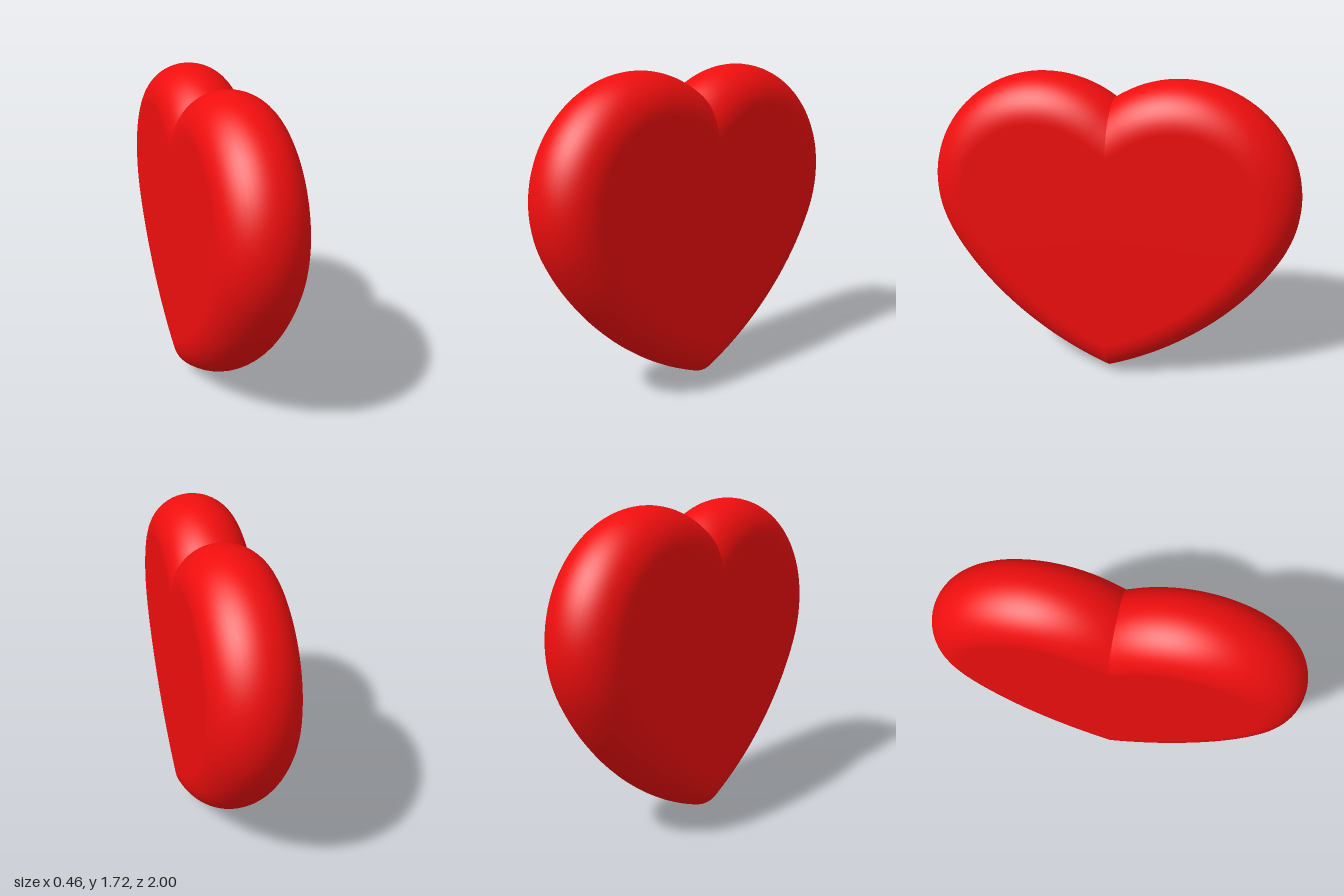
import * as THREE from 'three';

const HALF_THICK = 0.229; // half thickness along x
const ROUND = 0.21;       // how far the rounded rim reaches into the face
const STEPS = 72;         // points along half the outline
const RINGS = 24;         // cross-section steps around the rim

// Half outline of the heart in (z, y), from bottom tip to top cleft
function halfOutline() {
  const s = new THREE.Shape();
  s.moveTo(0, 0);
  s.bezierCurveTo(0.45, 0.17, 0.78, 0.5, 0.93, 0.8);
  s.bezierCurveTo(0.975, 0.89, 1, 0.99, 1, 1.09);
  s.bezierCurveTo(1, 1.44, 0.71, 1.725, 0.36, 1.725);
  s.bezierCurveTo(0.23, 1.725, 0.1, 1.68, 0, 1.61);
  const points = [];
  for (let i = 0; i <= STEPS; i++) {
    const p = s.getPointAt(i / STEPS), t = s.getTangentAt(i / STEPS);
    points.push({ z: p.x, y: p.y, nz: t.y, ny: -t.x });
  }
  return points;
}

// Outline moved inward by d, trimmed at the tip and mitred at the cleft
function insetOutline(outline, d) {
  const pts = outline.map((p) => ({ z: p.z - d * p.nz, y: p.y - d * p.ny, nz: p.nz, ny: p.ny }));
  const k = pts.findIndex((p) => p.z >= 0);
  if (k > 0) {
    const a = pts[k - 1], b = pts[k];
    const y = a.y + (b.y - a.y) * (-a.z / (b.z - a.z));
    for (let i = 0; i < k; i++) Object.assign(pts[i], { z: 0, y });
  }
  const end = outline[STEPS];
  pts.push({ z: 0, y: end.y - d / end.ny, nz: end.nz, ny: end.ny });
  return pts;
}

// One lobe: rounded rim plus both flat faces; side = +1 or -1 along z
function lobeGeometry(side) {
  const outline = halfOutline();
  const pos = [], nor = [], idx = [];
  const tri = (a, b, c) => (side > 0 ? idx.push(a, b, c) : idx.push(a, c, b));
  const row = STEPS + 2;

  for (let j = 0; j <= RINGS; j++) {
    const a = (j / RINGS - 0.5) * Math.PI;
    for (const p of insetOutline(outline, ROUND * (1 - Math.cos(a)))) {
      pos.push(HALF_THICK * Math.sin(a), p.y, side * p.z);
      nor.push(Math.sin(a), Math.cos(a) * p.ny, side * Math.cos(a) * p.nz);
    }
  }
  for (let j = 0; j < RINGS; j++) {
    for (let i = 0; i < row - 1; i++) {
      const p = j * row + i;
      tri(p, p + row, p + 1);
      tri(p + 1, p + row, p + row + 1);
    }
  }

  // Flat faces as fans around a point on the centre line
  for (const x of [-1, 1]) {
    const centre = pos.length / 3;
    const start = x < 0 ? 0 : RINGS * row;
    pos.push(x * HALF_THICK, 0.9, 0);
    nor.push(x, 0, 0);
    for (let i = start; i < start + row - 1; i++) {
      if (x > 0) tri(centre, i + 1, i);
      else tri(centre, i, i + 1);
    }
  }

  const g = new THREE.BufferGeometry();
  g.setAttribute('position', new THREE.Float32BufferAttribute(pos, 3));
  g.setAttribute('normal', new THREE.Float32BufferAttribute(nor, 3));
  g.setIndex(idx);
  return g;
}

export function createModel() {
  const group = new THREE.Group();
  group.name = 'heart';
  const red = new THREE.MeshStandardMaterial({ color: 0xf00e0e });
  for (const [name, side] of [['frontLobe', 1], ['backLobe', -1]]) {
    const lobe = new THREE.Mesh(lobeGeometry(side), red);
    lobe.name = name;
    group.add(lobe);
  }
  return group;
}
